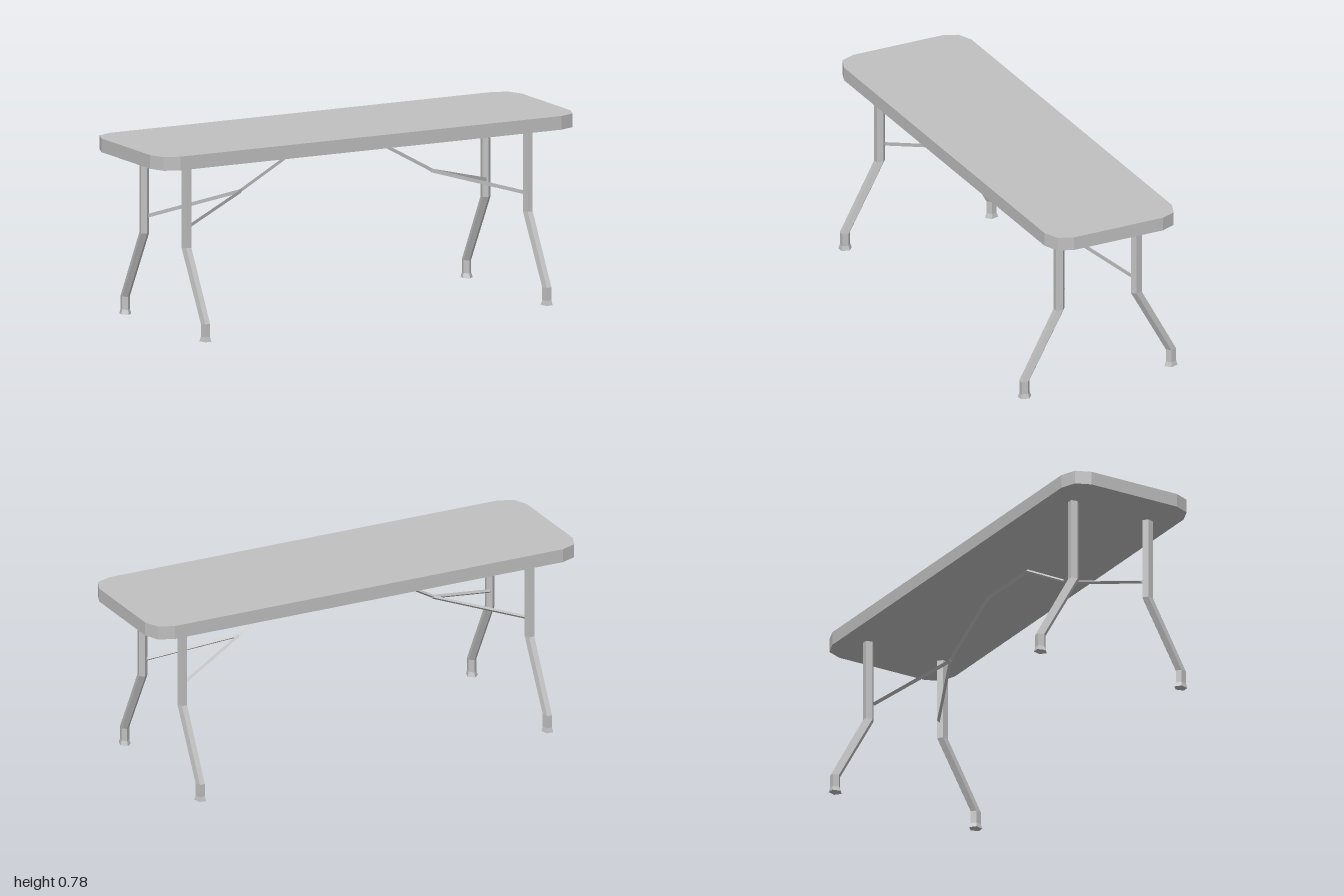
import * as THREE from 'three';

// Faceted solid from a row of equal-sized closed rings, capped at both ends.
function loft(rings) {
  const tris = [];
  const n = rings[0].length;
  for (let i = 0; i < rings.length - 1; i++) {
    for (let j = 0; j < n; j++) {
      const k = (j + 1) % n;
      const a = rings[i][j], b = rings[i][k], c = rings[i + 1][k], d = rings[i + 1][j];
      tris.push([a, b, c], [a, c, d]);
    }
  }
  const first = rings[0], last = rings[rings.length - 1];
  for (let j = 1; j < n - 1; j++) {
    tris.push([first[0], first[j + 1], first[j]], [last[0], last[j], last[j + 1]]);
  }
  // Turn every face outward whichever way the rings run
  const volume = tris.reduce((sum, [a, b, c]) => sum + a.dot(b.clone().cross(c)), 0);
  if (volume < 0) tris.forEach((t) => t.reverse());
  const geometry = new THREE.BufferGeometry().setFromPoints(tris.flat());
  geometry.computeVertexNormals();
  return geometry;
}

export function createModel() {
  const group = new THREE.Group();
  const grey = new THREE.MeshStandardMaterial({ color: 0xc0c0c0 });
  grey.name = 'grey';

  const add = (name, geometry) => {
    const mesh = new THREE.Mesh(geometry, grey);
    mesh.name = name;
    group.add(mesh);
  };

  // Table top: slab with two-step chamfered corners
  const corner = [[1, 0.208], [0.973, 0.272], [0.907, 0.298]];
  const back = [...corner].reverse();
  const outline = [
    ...corner,
    ...back.map(([x, z]) => [-x, z]),
    ...corner.map(([x, z]) => [-x, -z]),
    ...back.map(([x, z]) => [x, -z]),
  ];
  add('tableTop', loft([0.724, 0.782].map((y) => outline.map(([x, z]) => new THREE.Vector3(x, y, z)))));

  // Legs: five-sided tubes, bent outward, flat side out, flared at the foot
  const legStations = [ // y, z, radius
    [0.726, 0.18, 0.025],
    [0.37, 0.18, 0.025],
    [0.075, 0.342, 0.0235],
    [0.02, 0.342, 0.0235],
    [0, 0.3415, 0.0304],
  ];
  for (const sx of [1, -1]) {
    for (const sz of [1, -1]) {
      const rings = legStations.map(([y, z, r]) => Array.from({ length: 5 }, (_, i) => {
        const a = (i / 5) * Math.PI * 2;
        return new THREE.Vector3(sx * 0.812 + 0.82 * r * Math.sin(a), y, sz * (z - r * Math.cos(a)));
      }));
      add((sz > 0 ? 'front' : 'back') + (sx > 0 ? 'Left' : 'Right') + 'Leg', loft(rings));
    }
  }

  // Braces: thin three-sided rods
  const rodSection = [[0.008, 0.003], [-0.008, 0.002], [0.001, -0.01]];
  const rod = (path) => loft(path.map(([x, y, z]) =>
    rodSection.map(([dy, dz]) => new THREE.Vector3(x, y + dy, z + dz))));

  add('centreBrace', rod([
    [-0.46, 0.543, 0], [-0.155, 0.713, 0], [0.155, 0.713, 0], [0.46, 0.543, 0],
  ]));
  for (const sx of [1, -1]) {
    for (const sz of [1, -1]) {
      add('legBrace', rod([[sx * 0.45, 0.545, 0], [sx * 0.803, 0.446, sz * 0.159]]));
    }
  }
  return group;
}
